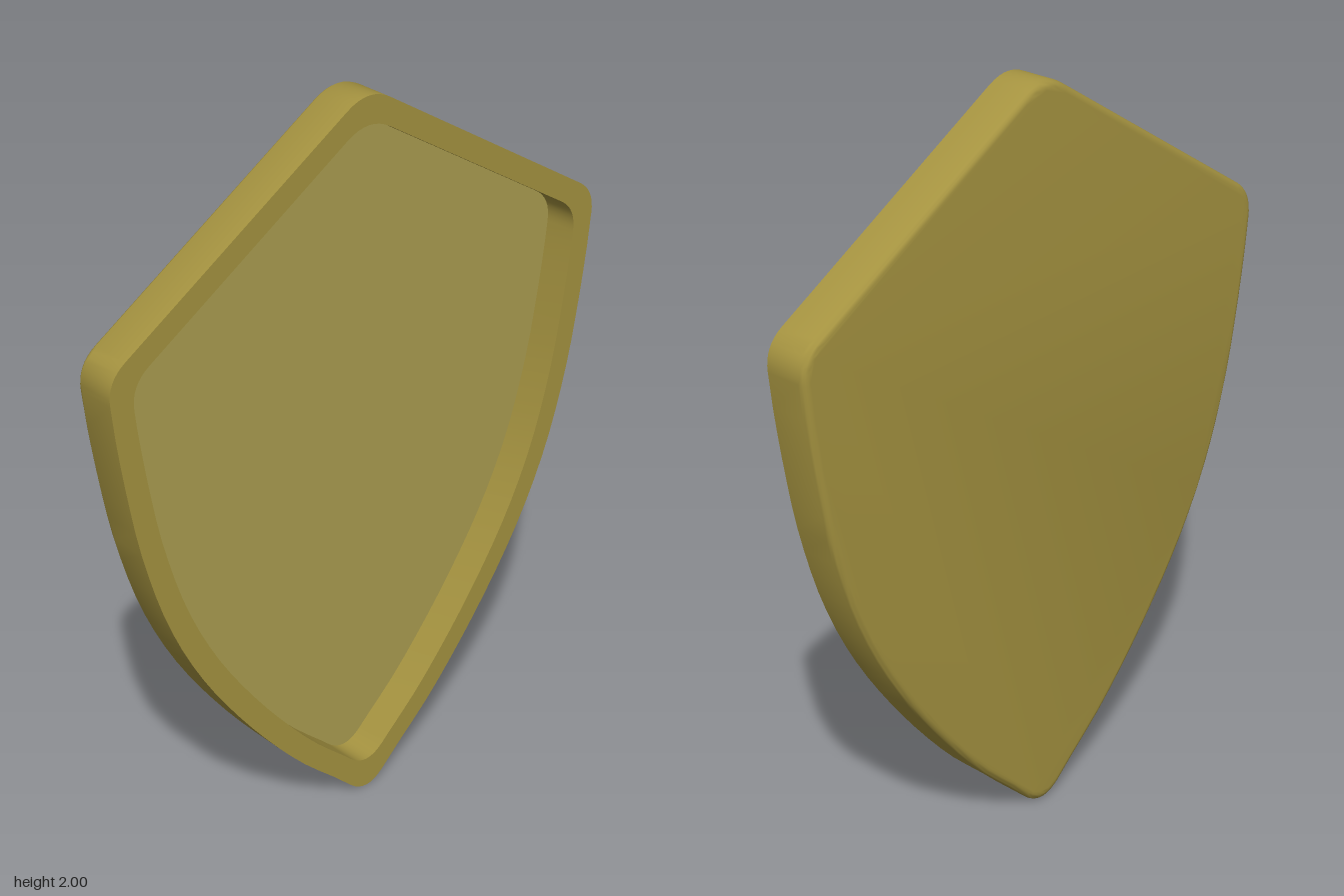
import * as THREE from 'three';
import { toCreasedNormals } from 'three/addons/utils/BufferGeometryUtils.js';

const V = (x, y) => new THREE.Vector2(x, y);
const FRONT = 0.062, BACK = -0.062, FLOOR = -0.03, RIM = 0.063, FILLET = 0.02;

// Sharp-cornered outline, counter-clockwise from the toe up the left side
function sharpOutline() {
  const side = new THREE.SplineCurve([
    V(0.12, 0.088), V(0.25, 0.21), V(0.41, 0.4), V(0.55, 0.605),
    V(0.65, 0.81), V(0.718, 1.03), V(0.757, 1.23), V(0.778, 1.37),
  ]).getSpacedPoints(22);
  const half = [...side, V(0.795, 1.525)];
  const mirror = half.map((p) => V(-p.x, p.y)).reverse();
  return [V(0, -0.026), ...half, V(0, 2.021), ...mirror];
}

// Outline moved inward by d, with its four corners rounded
function ring(d) {
  const base = sharpOutline(), n = base.length;
  const normal = (a, b) => V(a.y - b.y, b.x - a.x).normalize();
  const pts = base.map((p, i) => {
    const n1 = normal(base[(i + n - 1) % n], p), n2 = normal(p, base[(i + 1) % n]);
    return p.clone().addScaledVector(n1.clone().add(n2), d / (1 + n1.dot(n2)));
  });
  const top = n / 2;
  const radius = { 0: 0.08, [top - 1]: 0.065, [top]: 0.08, [top + 1]: 0.065 };
  return pts.flatMap((p, i) => {
    if (!(i in radius)) return [p];
    const toward = (q) => p.clone().add(q.clone().sub(p).setLength(radius[i]));
    return new THREE.QuadraticBezierCurve(
      toward(pts[(i + n - 1) % n]), p, toward(pts[(i + 1) % n])).getPoints(8);
  });
}

function build(name, color, profile, capFirst, capLast) {
  const rings = profile.map(([d, z]) => ring(d).map((p) => [p.x, p.y, z]));
  const n = rings[0].length, position = rings.flat(2), index = [];
  for (let r = 0; r < rings.length - 1; r++) {
    for (let i = 0; i < n; i++) {
      const j = (i + 1) % n, a = r * n, b = a + n;
      index.push(a + i, b + i, b + j, a + i, b + j, a + j);
    }
  }
  const faces = (r) => THREE.ShapeUtils.triangulateShape(ring(profile[r][0]), [])
    .map((f) => f.map((k) => k + r * n));
  if (capFirst) faces(0).forEach((f) => index.push(...f));
  if (capLast) faces(rings.length - 1).forEach(([a, b, c]) => index.push(a, c, b));
  const geo = new THREE.BufferGeometry();
  geo.setAttribute('position', new THREE.Float32BufferAttribute(position, 3));
  geo.setIndex(index);
  const mesh = new THREE.Mesh(toCreasedNormals(geo, 0.7), new THREE.MeshStandardMaterial({ color }));
  mesh.name = name;
  return mesh;
}

export function createModel() {
  const group = new THREE.Group();
  group.name = 'shield';

  // Rim, outer wall and back plate with a softly rounded rear edge
  const profile = [[RIM, FLOOR], [RIM, FRONT], [0, FRONT]];
  for (let i = 0; i <= 5; i++) {
    const t = (i / 5) * Math.PI / 2;
    profile.push([FILLET * (1 - Math.cos(t)), BACK + FILLET * (1 - Math.sin(t))]);
  }
  group.add(build('shieldBody', 0xa59340, profile, false, true));

  // Recessed front panel
  group.add(build('frontPanel', 0xab9d50, [[RIM, FLOOR]], true, false));
  return group;
}
